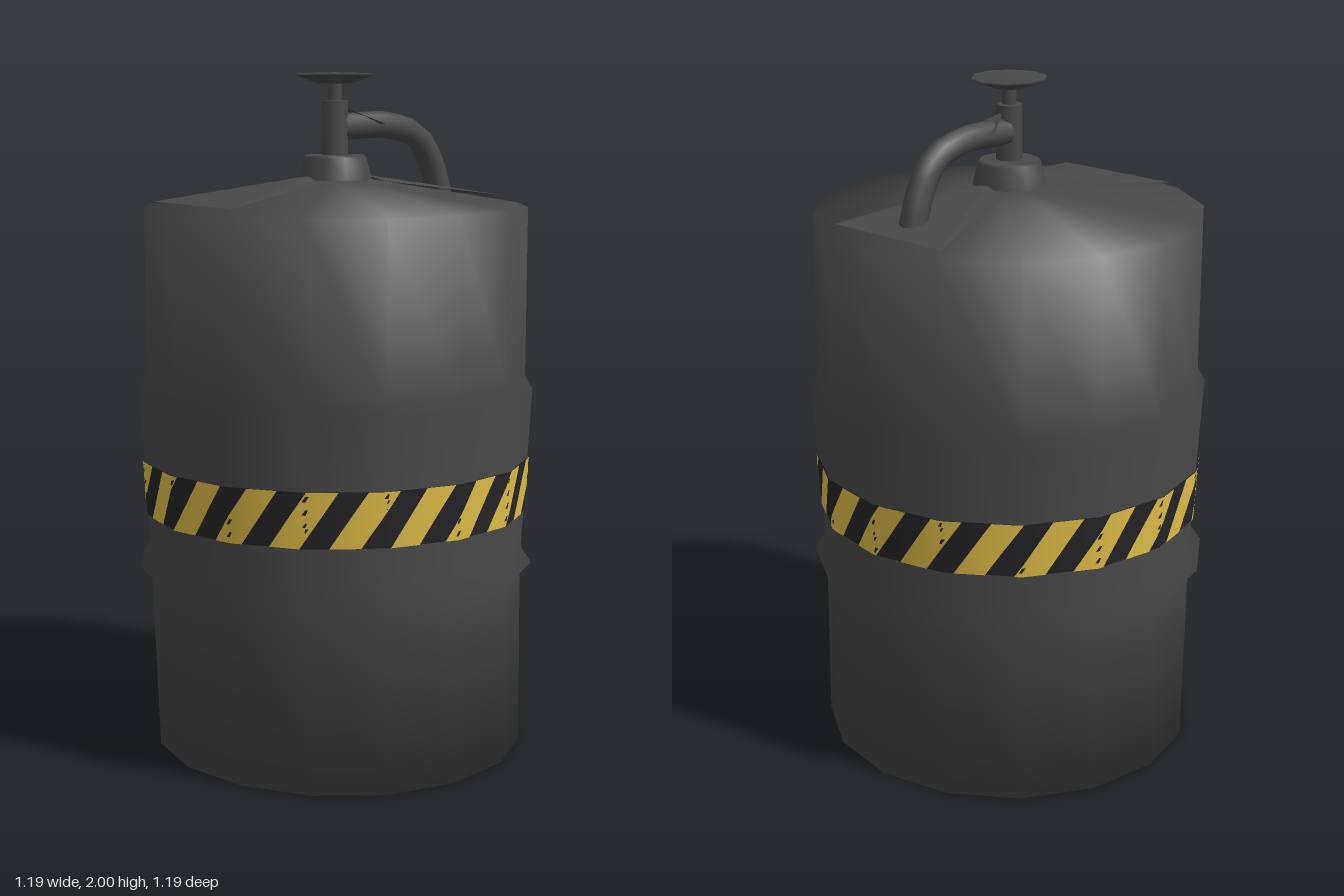
import * as THREE from 'three';

const SIDES = 16;

function mat(name, color, side = THREE.FrontSide) {
  const m = new THREE.MeshStandardMaterial({ color, side });
  m.name = name;
  return m;
}

function lathe(points, sides, material, name) {
  const geo = new THREE.LatheGeometry(points.map(([r, y]) => new THREE.Vector2(r, y)), sides);
  const mesh = new THREE.Mesh(geo, material);
  mesh.name = name;
  return mesh;
}

// Body radius at the height of the painted band, and a point on the 16-sided wall there
const bandRadius = (y) => 0.562 + (y - 0.6) * 0.05;
function wallPoint(theta, y, lift) {
  const step = (Math.PI * 2) / SIDES;
  const local = theta - Math.floor(theta / step) * step - step / 2;
  const r = (bandRadius(y) + lift) * Math.cos(step / 2) / Math.cos(local);
  return [r * Math.sin(theta), y, r * Math.cos(theta)];
}

// All slanted stripes as one thin skin just outside the band
function stripeGeometry(count, y0, y1, slant) {
  const pos = [], nor = [], idx = [];
  const n = 4, pitch = (Math.PI * 2) / count;
  for (let s = 0; s < count; s++) {
    const base = pos.length / 3;
    for (let j = 0; j <= n; j++) {
      for (let i = 0; i <= n; i++) {
        const t = j / n;
        const theta = s * pitch + (i / n) * pitch * 0.52 + t * slant;
        pos.push(...wallPoint(theta, y0 + (y1 - y0) * t, 0.007));
        nor.push(Math.sin(theta), 0, Math.cos(theta));
        if (i < n && j < n) {
          const a = base + j * (n + 1) + i, b = a + n + 1;
          idx.push(a, a + 1, b + 1, a, b + 1, b);
        }
      }
    }
  }
  const g = new THREE.BufferGeometry();
  g.setAttribute('position', new THREE.Float32BufferAttribute(pos, 3));
  g.setAttribute('normal', new THREE.Float32BufferAttribute(nor, 3));
  g.setIndex(idx);
  return g;
}

// A few loose triangles, each given as three corners
function facets(corners, material, name) {
  const g = new THREE.BufferGeometry();
  g.setAttribute('position', new THREE.Float32BufferAttribute(corners.flat(), 3));
  g.computeVertexNormals();
  const mesh = new THREE.Mesh(g, material);
  mesh.name = name;
  return mesh;
}

export function createModel() {
  const group = new THREE.Group();
  group.name = 'pumpBarrel';
  const grey = mat('dark grey metal', 0x484848);
  const greyThin = mat('dark grey plate', 0x484848, THREE.DoubleSide);
  const black = mat('band black', 0x242427);
  const yellow = mat('band yellow', 0xdcb946);

  // Barrel with two raised hoops and a shallow conical lid
  const barrel = lathe([
    [0, 0], [0.565, 0], [0.56, 0.52], [0.593, 0.555], [0.562, 0.6],
    [0.588, 1.08], [0.566, 1.12], [0.566, 1.615], [0.1, 1.692], [0, 1.7],
  ], SIDES, grey, 'barrel');
  // The foot leans back slightly
  const p = barrel.geometry.attributes.position;
  for (let i = 0; i < p.count; i++) {
    if (p.getY(i) < 0.01 && p.getZ(i) > 0) p.setZ(i, p.getZ(i) * 0.95);
  }
  group.add(barrel);

  // Hazard band
  const y0 = 0.715, y1 = 0.875;
  group.add(lathe([[bandRadius(y0) + 0.004, y0], [bandRadius(y1) + 0.004, y1]], SIDES, black, 'hazardBand'));
  const stripes = new THREE.Mesh(stripeGeometry(21, y0, y1, 0.19), yellow);
  stripes.name = 'hazardStripes';
  group.add(stripes);

  // Wedge panels on the lid, front and back
  for (const s of [1, -1]) {
    const apex = [0, 1.703, 0.1 * s];
    const l = [0.2, 1.634, 0.5 * s], r = [-0.2, 1.634, 0.5 * s];
    const lo = [0.09, 1.685, 0.12 * s], ro = [-0.09, 1.685, 0.12 * s];
    const tris = s > 0
      ? [apex, r, l, apex, l, lo, apex, ro, r]
      : [apex, l, r, apex, lo, l, apex, r, ro];
    group.add(facets(tris, greyThin, s > 0 ? 'frontLidPanel' : 'backLidPanel'));
  }

  // Pump collar, stem and knob
  group.add(lathe([[0.11, 1.68], [0.106, 1.7], [0.092, 1.755], [0.085, 1.762], [0, 1.762]], 10, grey, 'collar'));
  group.add(lathe([[0.038, 1.75], [0.038, 1.918], [0.036, 1.92], [0, 1.92]], 8, grey, 'stem'));
  group.add(lathe([[0.02, 1.91], [0.02, 1.98]], 8, grey, 'plunger'));
  group.add(lathe([[0, 1.966], [0.05, 1.968], [0.112, 1.99], [0.108, 1.997], [0, 2]], 10, grey, 'knob'));

  // Bent return pipe from the stem down to the lid
  const path = new THREE.CatmullRomCurve3([
    [0, 1.843, -0.02], [0, 1.845, -0.2], [0, 1.81, -0.31], [0, 1.72, -0.37], [0, 1.61, -0.405],
  ].map((v) => new THREE.Vector3(...v)));
  const pipe = new THREE.Mesh(new THREE.TubeGeometry(path, 10, 0.039, 8), grey);
  pipe.name = 'returnPipe';
  group.add(pipe);

  // Small fin where the pipe meets the stem
  group.add(facets([[0, 1.9, -0.03], [0.066, 1.85, -0.14], [-0.066, 1.85, -0.14]], greyThin, 'pipeFin'));

  return group;
}
